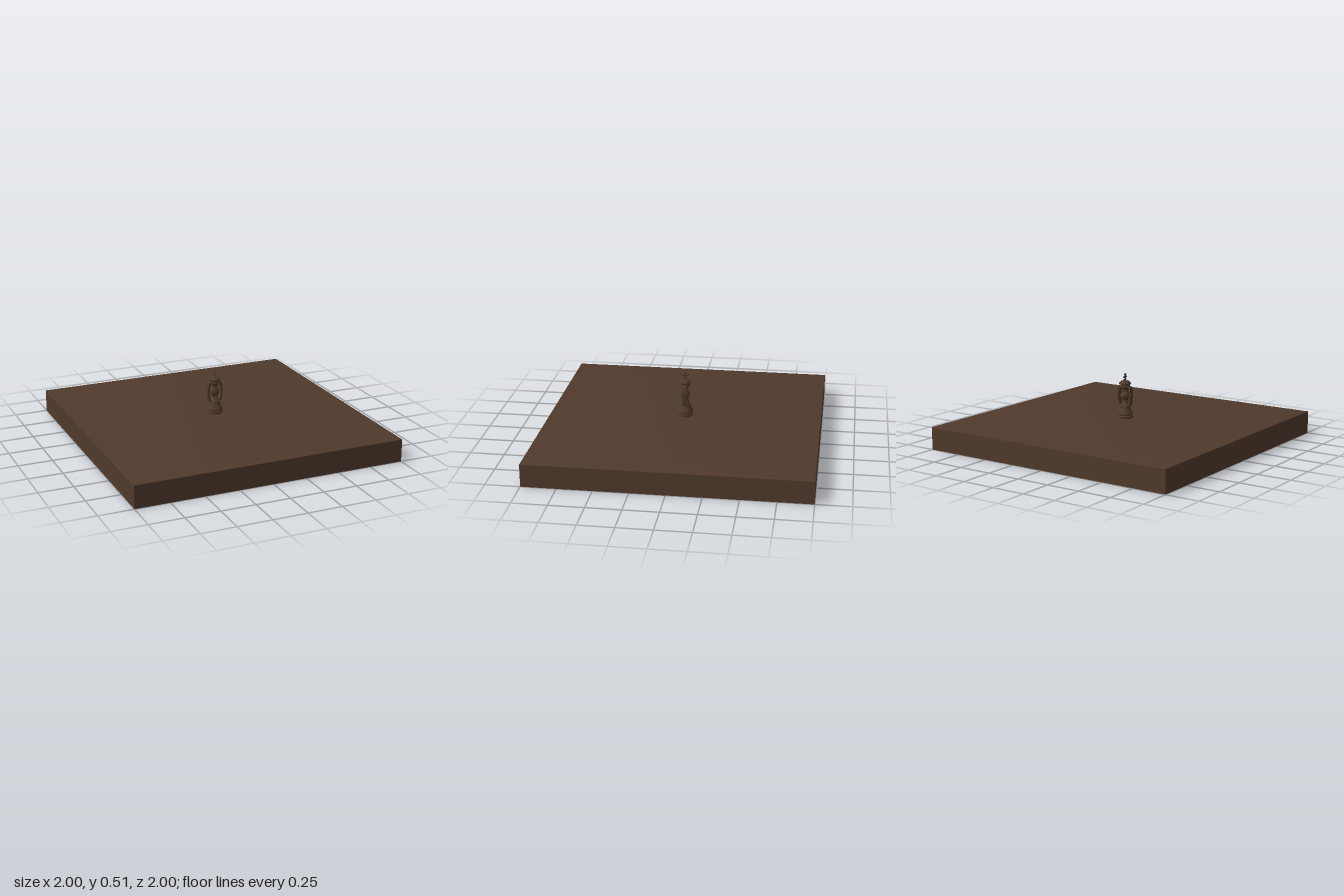
import * as THREE from 'three';
import { toCreasedNormals } from 'three/addons/utils/BufferGeometryUtils.js';

export function createModel() {
  const model = new THREE.Group();
  const wood = new THREE.MeshStandardMaterial({ color: 0x503a2c });
  wood.name = 'dark walnut';

  const add = (name, geometry, parent = model) => {
    const mesh = new THREE.Mesh(geometry, wood);
    mesh.name = name;
    parent.add(mesh);
    return mesh;
  };
  const lathe = (points, sides, start = 0, scale = 1) => toCreasedNormals(
    new THREE.LatheGeometry(points.map(([r, y]) => new THREE.Vector2(r * scale, y)), sides, start), 0.6);

  // Square slab whose top falls away gently towards the edges
  add('slab', lathe([
    [0, 0], [1, 0], [1, 0.165], [0.997, 0.168], [0.97, 0.171], [0.93, 0.174], [0.88, 0.1765], [0.82, 0.178], [0, 0.178],
  ], 4, Math.PI / 4, Math.SQRT2));

  const king = new THREE.Group();
  king.name = 'king';
  model.add(king);

  // Turned foot and skirt
  add('foot', lathe([
    [0, 0.177], [0.054, 0.177], [0.054, 0.186], [0.062, 0.188], [0.062, 0.197], [0.056, 0.202],
    [0.059, 0.207], [0.059, 0.213], [0.054, 0.222], [0.045, 0.24], [0.037, 0.262], [0.044, 0.266],
    [0.044, 0.273], [0.036, 0.277], [0, 0.277],
  ], 32), king);

  // Slim stem with a bulb in the middle
  add('stem', lathe([
    [0.036, 0.276], [0.026, 0.29], [0.019, 0.308], [0.024, 0.32], [0.032, 0.332], [0.035, 0.345],
    [0.032, 0.358], [0.024, 0.37], [0.019, 0.38], [0.024, 0.398], [0.034, 0.414],
  ], 32), king);

  // Collar and stepped crown
  add('crown', lathe([
    [0, 0.412], [0.036, 0.412], [0.036, 0.42], [0.033, 0.425], [0.044, 0.434], [0.044, 0.441],
    [0.036, 0.446], [0.032, 0.453], [0.018, 0.459], [0, 0.461],
  ], 32), king);

  // Curved side brackets, flat from front to back
  const bracket = new THREE.Shape();
  bracket.moveTo(0.03, 0.273);
  bracket.lineTo(0.05, 0.276);
  bracket.quadraticCurveTo(0.055, 0.31, 0.058, 0.345);
  bracket.quadraticCurveTo(0.06, 0.39, 0.048, 0.415);
  bracket.lineTo(0.03, 0.418);
  bracket.quadraticCurveTo(0.046, 0.39, 0.046, 0.345);
  bracket.quadraticCurveTo(0.046, 0.3, 0.03, 0.273);
  for (const side of [1, -1]) {
    const geometry = new THREE.ExtrudeGeometry(bracket, { depth: 0.034, bevelEnabled: false, curveSegments: 8 });
    geometry.translate(0, 0, -0.017);
    if (side < 0) geometry.rotateY(Math.PI);
    add(side > 0 ? 'leftBracket' : 'rightBracket', toCreasedNormals(geometry, 0.6), king);
  }

  // Rings around the bulb and the neck
  for (const [y, r] of [[0.345, 0.034], [0.307, 0.021], [0.383, 0.021]]) {
    const ring = add('ring', new THREE.TorusGeometry(r, 0.0035, 8, 32), king);
    ring.rotation.x = Math.PI / 2;
    ring.position.y = y;
  }

  // Thin finial cross, spreading from front to back
  for (const [name, y, h, d] of [
    ['crossPost', 0.483, 0.054, 0.01], ['crossFoot', 0.466, 0.007, 0.028],
    ['crossBar', 0.486, 0.01, 0.044], ['crossTip', 0.505, 0.008, 0.024],
  ]) {
    add(name, new THREE.BoxGeometry(0.006, h, d), king).position.y = y;
  }
  return model;
}
